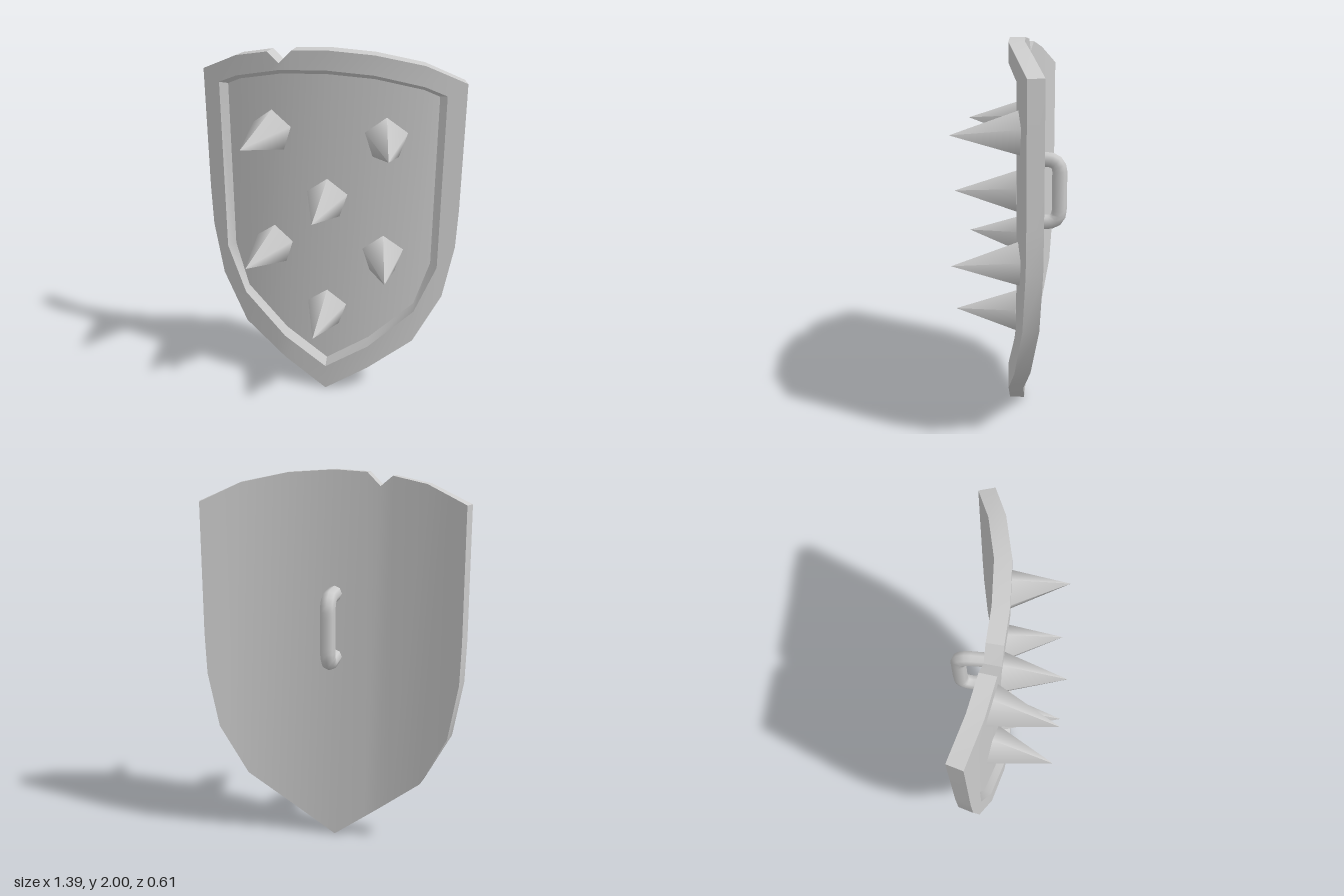
import * as THREE from 'three';
import { toCreasedNormals } from 'three/addons/utils/BufferGeometryUtils.js';

const material = new THREE.MeshStandardMaterial({ color: 0xcccccc });
const THICKNESS = 0.08, RECESS = 0.04;

// Half profiles as [x, value], running from the centre outwards
const BEND = [[0, 0.003], [0.245, -0.01], [0.49, -0.06], [0.695, -0.13]];
const OUTER = {
  top: [[0, 2], [0.245, 1.985], [0.49, 1.935], [0.695, 1.84]],
  bottom: [[0, 0], [0.245, 0.17], [0.49, 0.36], [0.635, 0.64], [0.688, 0.94], [0.695, 1.16]],
};
const RIM = {
  top: [[0, 1.9], [0.245, 1.885], [0.49, 1.83], [0.6, 1.78]],
  bottom: [[0, 0.15], [0.245, 0.315], [0.49, 0.55], [0.6, 0.82]],
};
const FLOOR = {
  top: [[0, 1.872], [0.245, 1.858], [0.49, 1.805], [0.57, 1.768]],
  bottom: [[0, 0.19], [0.245, 0.355], [0.49, 0.58], [0.57, 0.83]],
};
const NOTCH = [[-0.31, 1.972], [-0.245, 1.92], [-0.175, 1.989]];

function sample(points, x) {
  for (let i = 1; i < points.length; i++) {
    const [x0, y0] = points[i - 1], [x1, y1] = points[i];
    if (x <= x1 + 1e-9) return y0 + (y1 - y0) * (x - x0) / (x1 - x0);
  }
  return points[points.length - 1][1];
}
const mirrored = (points) => [...points.slice(1).reverse().map(([x, y]) => [-x, y]), ...points];

// Flat position to curved plate, at a depth behind the front face
function bend(x, y, depth) {
  return [x - 0.43 * depth * x, y, sample(BEND, Math.abs(x)) - depth];
}

// Counter-clockwise loop seen from the front
const loopOf = (bottom, top) => [...bottom, ...[...top].reverse()];

function shieldGeometry() {
  const positions = [];
  const quad = (a, b, c, d) => positions.push(...a, ...b, ...c, ...a, ...c, ...d);

  const outerTop = mirrored(OUTER.top).filter(([x]) => x < -0.32 || x > -0.17);
  outerTop.push(...NOTCH);
  outerTop.sort((a, b) => a[0] - b[0]);
  const outerBottom = mirrored(OUTER.bottom);
  const rimTop = mirrored(RIM.top), rimBottom = mirrored(RIM.bottom);
  const floorTop = mirrored(FLOOR.top), floorBottom = mirrored(FLOOR.bottom);

  // Vertical strips between two profiles
  const strip = (x0, x1, low, high, depth, back = false) => {
    const corners = [
      bend(x0, sample(low, x0), depth), bend(x1, sample(low, x1), depth),
      bend(x1, sample(high, x1), depth), bend(x0, sample(high, x0), depth),
    ];
    quad(...(back ? corners.reverse() : corners));
  };

  const columns = [...new Set([...outerTop, ...outerBottom, ...rimTop].map(([x]) => x))].sort((a, b) => a - b);
  for (let i = 1; i < columns.length; i++) {
    const x0 = columns[i - 1], x1 = columns[i];
    strip(x0, x1, outerBottom, outerTop, THICKNESS, true);
    if (Math.abs(x0 + x1) / 2 > 0.6) {
      strip(x0, x1, outerBottom, outerTop, 0);
    } else {
      strip(x0, x1, outerBottom, rimBottom, 0);
      strip(x0, x1, rimTop, outerTop, 0);
    }
  }
  for (let i = 1; i < floorTop.length; i++) {
    strip(floorTop[i - 1][0], floorTop[i][0], floorBottom, floorTop, RECESS);
  }

  // Outer edge wall
  const edge = loopOf(outerBottom, outerTop);
  edge.forEach((a, i) => {
    const b = edge[(i + 1) % edge.length];
    quad(bend(...a, 0), bend(...a, THICKNESS), bend(...b, THICKNESS), bend(...b, 0));
  });

  // Sloped wall down to the recessed panel
  const rim = loopOf(rimBottom, rimTop), floor = loopOf(floorBottom, floorTop);
  rim.forEach((a, i) => {
    const j = (i + 1) % rim.length;
    quad(bend(...a, 0), bend(...rim[j], 0), bend(...floor[j], RECESS), bend(...floor[i], RECESS));
  });

  const geometry = new THREE.BufferGeometry();
  geometry.setAttribute('position', new THREE.Float32BufferAttribute(positions, 3));
  return toCreasedNormals(geometry, 0.6);
}

function handleGeometry() {
  const v = (y, z) => new THREE.Vector3(0, y, z);
  const path = new THREE.CurvePath();
  path.add(new THREE.LineCurve3(v(1.37, -0.06), v(1.37, -0.19)));
  path.add(new THREE.QuadraticBezierCurve3(v(1.37, -0.19), v(1.37, -0.262), v(1.3, -0.262)));
  path.add(new THREE.LineCurve3(v(1.3, -0.262), v(1.1, -0.262)));
  path.add(new THREE.QuadraticBezierCurve3(v(1.1, -0.262), v(1.03, -0.262), v(1.03, -0.19)));
  path.add(new THREE.LineCurve3(v(1.03, -0.19), v(1.03, -0.06)));
  return new THREE.TubeGeometry(path, 26, 0.04, 8);
}

export function createModel() {
  const model = new THREE.Group();
  model.name = 'spikedShield';
  const add = (name, geometry) => {
    const mesh = new THREE.Mesh(geometry, material);
    mesh.name = name;
    model.add(mesh);
    return mesh;
  };

  add('shieldPlate', shieldGeometry());
  add('handle', handleGeometry());

  // Five-sided spikes, the outer ones following the curve of the plate
  const spike = new THREE.ConeGeometry(0.116, 0.34, 5);
  spike.translate(0, 0.17, 0).rotateY(Math.PI).rotateX(Math.PI / 2);
  const spots = [[0, 1.194], [0, 0.524]];
  for (const side of [-1, 1]) spots.push([side * 0.31, 1.544], [side * 0.31, 0.882]);
  for (const [x, y] of spots) {
    const mesh = add('spike', spike);
    mesh.position.set(...bend(x, y, RECESS));
    mesh.rotation.y = Math.sign(x) * 0.2;
  }
  return model;
}
